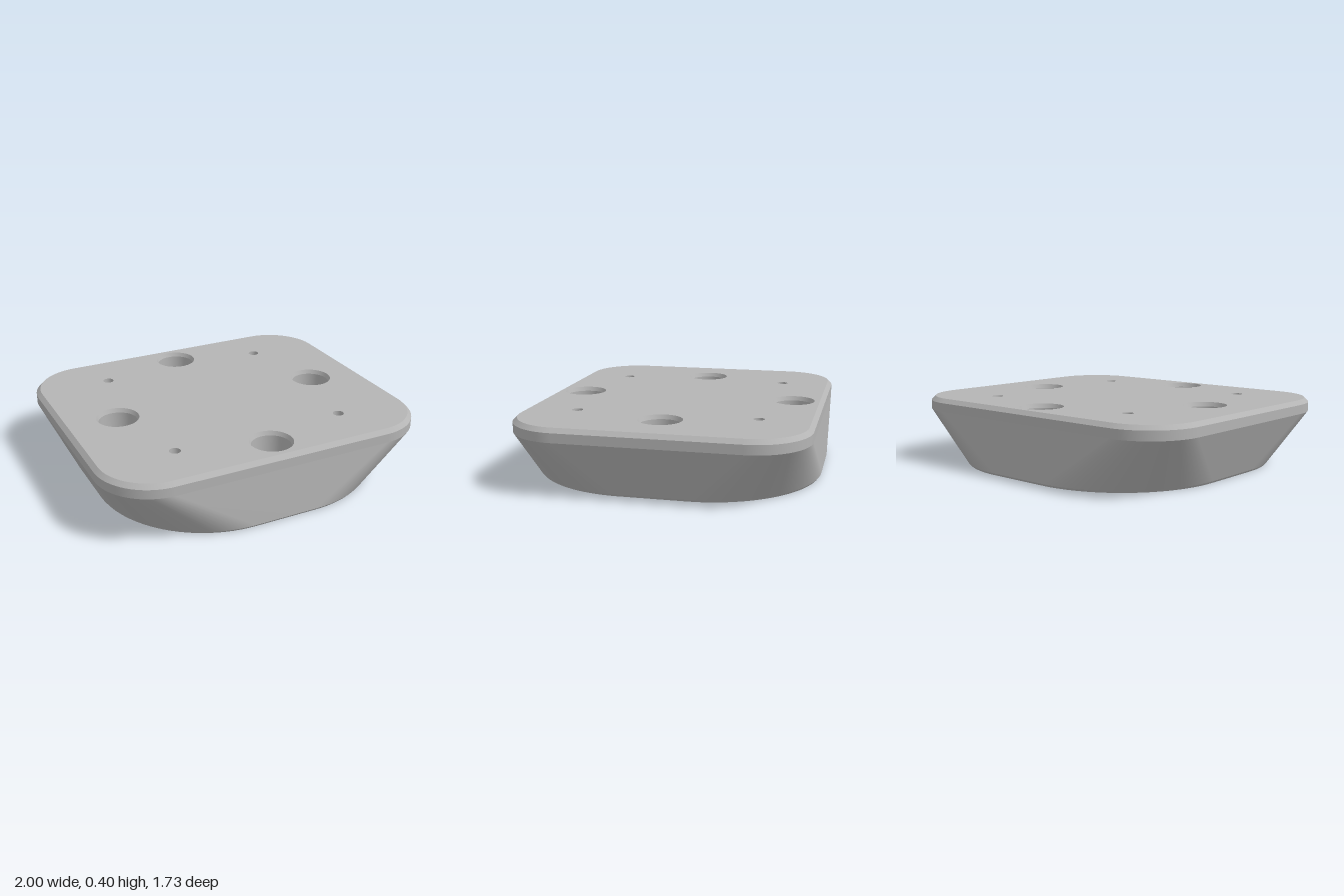
import * as THREE from 'three';
import { mergeGeometries } from 'three/addons/utils/BufferGeometryUtils.js';

const TOP = 0.4, CEILING = 0.32;
const POSTS = [[0.667, 0], [-0.667, 0], [0, 0.667], [0, -0.667]];
const SCREWS = [[0.533, 0.533], [-0.533, 0.533], [0.533, -0.533], [-0.533, -0.533]];

// Outline of a rounded rectangle with half sizes hw, hd and corner radius r
function outline(hw, hd, r, n = 24) {
  const pts = [];
  [[1, 1], [-1, 1], [-1, -1], [1, -1]].forEach(([sx, sz], corner) => {
    for (let i = 0; i <= n; i++) {
      const a = (corner + i / n) * Math.PI / 2;
      pts.push(new THREE.Vector2(sx * (hw - r) + r * Math.cos(a), sz * (hd - r) + r * Math.sin(a)));
    }
  });
  return pts;
}

// One smooth band between two rounded rectangles [hw, hd, r, y]
function band(a, b) {
  const pos = [], index = [];
  for (const [hw, hd, r, y] of [a, b]) {
    for (const p of outline(hw, hd, r)) pos.push(p.x, y, p.y);
  }
  const n = pos.length / 6;
  for (let j = 0; j < n; j++) {
    const k = (j + 1) % n;
    index.push(j, k, n + j, k, n + k, n + j);
  }
  const g = new THREE.BufferGeometry();
  g.setAttribute('position', new THREE.Float32BufferAttribute(pos, 3));
  g.setIndex(index);
  g.computeVertexNormals();
  return g;
}

// Turned part with a hard edge at every profile point
function turned(profile, segments) {
  const parts = [];
  for (let i = 0; i < profile.length - 1; i++) {
    const pair = [profile[i], profile[i + 1]].map(([x, y]) => new THREE.Vector2(x, y));
    parts.push(new THREE.LatheGeometry(pair, segments));
  }
  return mergeGeometries(parts);
}

// Flat rounded plate with holes [x, z, radius, sides]
function plate(hw, hd, r, holes, y, facingUp) {
  const shape = new THREE.Shape(outline(hw, hd, r));
  for (const [x, z, radius, sides] of holes) {
    const pts = [];
    for (let i = 0; i < sides; i++) {
      const a = -i / sides * Math.PI * 2 + Math.PI / 2;
      pts.push(new THREE.Vector2(x + radius * Math.cos(a), z + radius * Math.sin(a)));
    }
    shape.holes.push(new THREE.Path(pts));
  }
  const g = new THREE.ShapeGeometry(shape);
  g.rotateX(facingUp ? -Math.PI / 2 : Math.PI / 2);
  g.translate(0, y, 0);
  return g;
}

export function createModel() {
  const model = new THREE.Group();
  const grey = new THREE.MeshStandardMaterial({ color: 0xb4b4b4 });
  grey.name = 'grey';
  const add = (name, geometry, x = 0, z = 0) => {
    const mesh = new THREE.Mesh(geometry, grey);
    mesh.name = name;
    mesh.position.set(x, 0, z);
    model.add(mesh);
  };

  // Hollow shell: chamfer, upright lip, flared wall, rim, inner wall
  const rings = [
    [0.975, 0.825, 0.305, TOP],
    [1, 0.85, 0.33, 0.375],
    [1, 0.85, 0.33, CEILING],
    [0.867, 0.865, 0.67, 0.012],
    [0.858, 0.856, 0.661, 0],
    [0.825, 0.823, 0.63, 0],
    [0.95, 0.8, 0.28, CEILING],
  ];
  add('shell', mergeGeometries(rings.slice(1).map((ring, i) => band(rings[i], ring))));

  // Top face and the ceiling of the cavity
  add('topFace', plate(0.975, 0.825, 0.305, [
    ...POSTS.map(([x, z]) => [x, z, 0.127, 48]),
    ...SCREWS.map(([x, z]) => [x, z, 0.033, 24]),
  ], TOP, true));
  add('ceiling', plate(0.95, 0.8, 0.28, [
    ...POSTS.map(([x, z]) => [x, z, 0.164, 48]),
    ...SCREWS.map(([x, z]) => [x, z, 0.052, 6]),
  ], CEILING, false));

  // Counterbored posts hanging from the ceiling
  const post = turned([
    [0.127, TOP], [0.116, 0.375], [0.116, 0.1], [0.038, 0.1],
    [0.038, 0.008], [0.164, 0.008], [0.164, CEILING],
  ], 48);
  POSTS.forEach(([x, z]) => add('post', post, x, z));

  // Small screw holes with a hexagonal nut pocket below
  const bore = turned([[0.033, TOP], [0.033, 0.355]], 24);
  const pocket = turned([[0.032, 0.355], [0.052, 0.355], [0.052, CEILING]], 6).toNonIndexed();
  pocket.computeVertexNormals();
  SCREWS.forEach(([x, z]) => {
    add('screwHole', bore, x, z);
    add('nutPocket', pocket, x, z);
  });
  return model;
}
